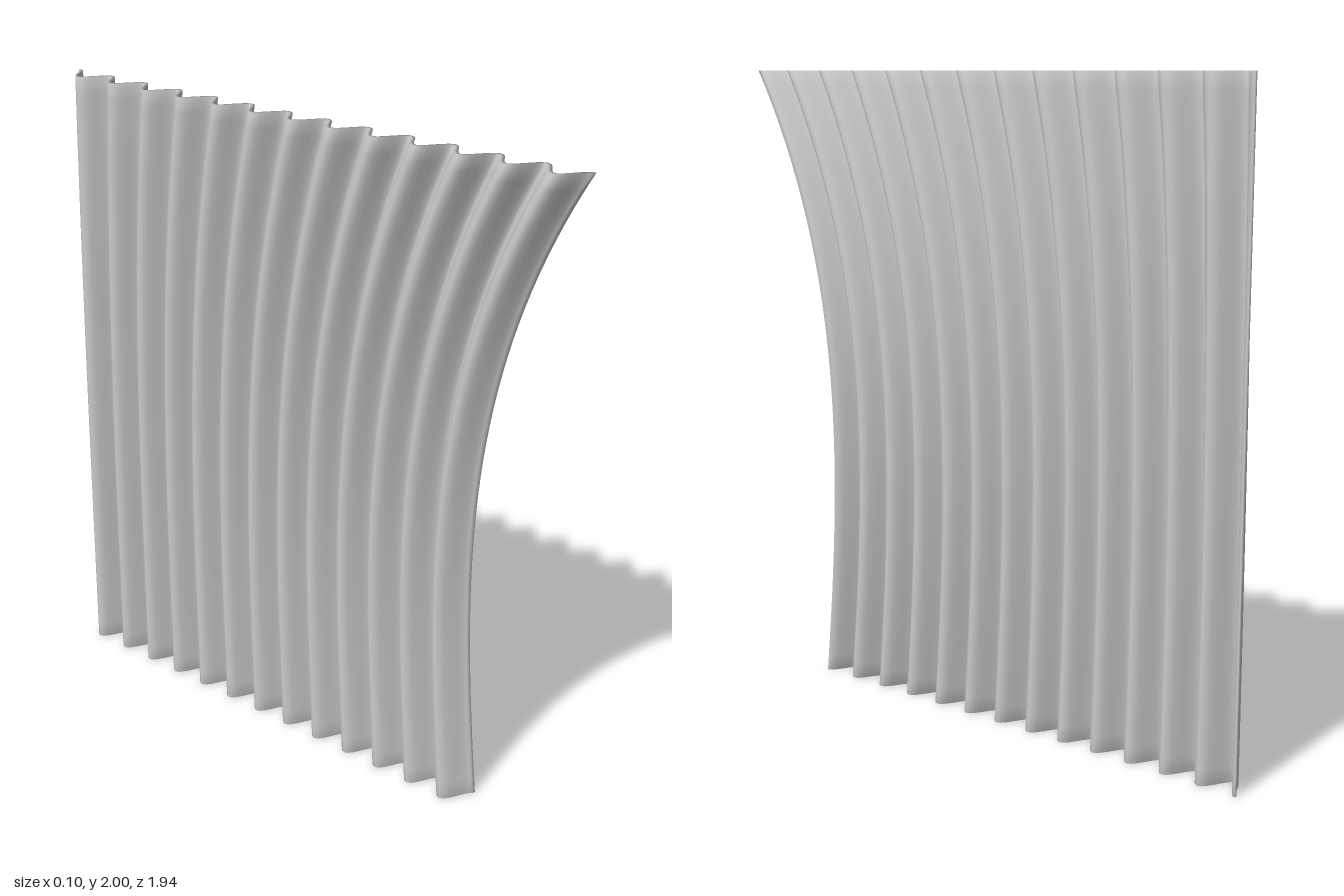
import * as THREE from 'three';

const BACK = -0.97, FOLDS = 13, STEPS = FOLDS * 14, ROWS = 40, HALF = 0.005;

// Curved front hem: narrowest at y = 0.7, sweeping out to the top
function frontEdge(y) {
  const d = y - 0.7;
  return 0.635 + 0.13 * d * d + 0.0547 * d ** 3;
}

// Closed cross-section of the pleated cloth at height y: +x face, then -x face
function section(y) {
  const width = frontEdge(y) - BACK;
  const amp = 0.045 - 0.00375 * y;
  const k = (2 * Math.PI * FOLDS) / width;
  const right = [], left = [];
  for (let j = 0; j <= STEPS; j++) {
    const s = (width * j) / STEPS;
    const x = amp * Math.cos(k * s);
    const slope = -amp * k * Math.sin(k * s);
    const h = HALF / Math.hypot(1, slope);
    right.push([x + h, y, BACK + s - slope * h]);
    left.push([x - h, y, BACK + s + slope * h]);
  }
  return [...right, ...left.reverse()];
}

function clothGeometry() {
  const positions = [], index = [];
  const M = 2 * (STEPS + 1);
  for (let r = 0; r <= ROWS; r++) {
    for (const p of section((2 * r) / ROWS)) positions.push(...p);
  }
  // Faces and end edges
  for (let r = 0; r < ROWS; r++) {
    for (let i = 0; i < M; i++) {
      const a = r * M + i, b = r * M + ((i + 1) % M);
      index.push(a, a + M, b, b, a + M, b + M);
    }
  }
  // Top and bottom rims
  const top = ROWS * M;
  for (let j = 0; j < STEPS; j++) {
    const f0 = j, f1 = j + 1, b0 = M - 1 - j, b1 = M - 2 - j;
    index.push(top + f0, top + b0, top + f1, top + b0, top + b1, top + f1);
    index.push(f0, f1, b0, b0, f1, b1);
  }
  const geometry = new THREE.BufferGeometry();
  geometry.setAttribute('position', new THREE.Float32BufferAttribute(positions, 3));
  geometry.setIndex(index);
  geometry.computeVertexNormals();
  return geometry;
}

export function createModel() {
  const group = new THREE.Group();
  group.name = 'curtain';
  const cloth = new THREE.MeshStandardMaterial({ color: 0xcccccc });
  cloth.name = 'light grey cloth';
  const mesh = new THREE.Mesh(clothGeometry(), cloth);
  mesh.name = 'pleatedCloth';
  group.add(mesh);
  return group;
}
